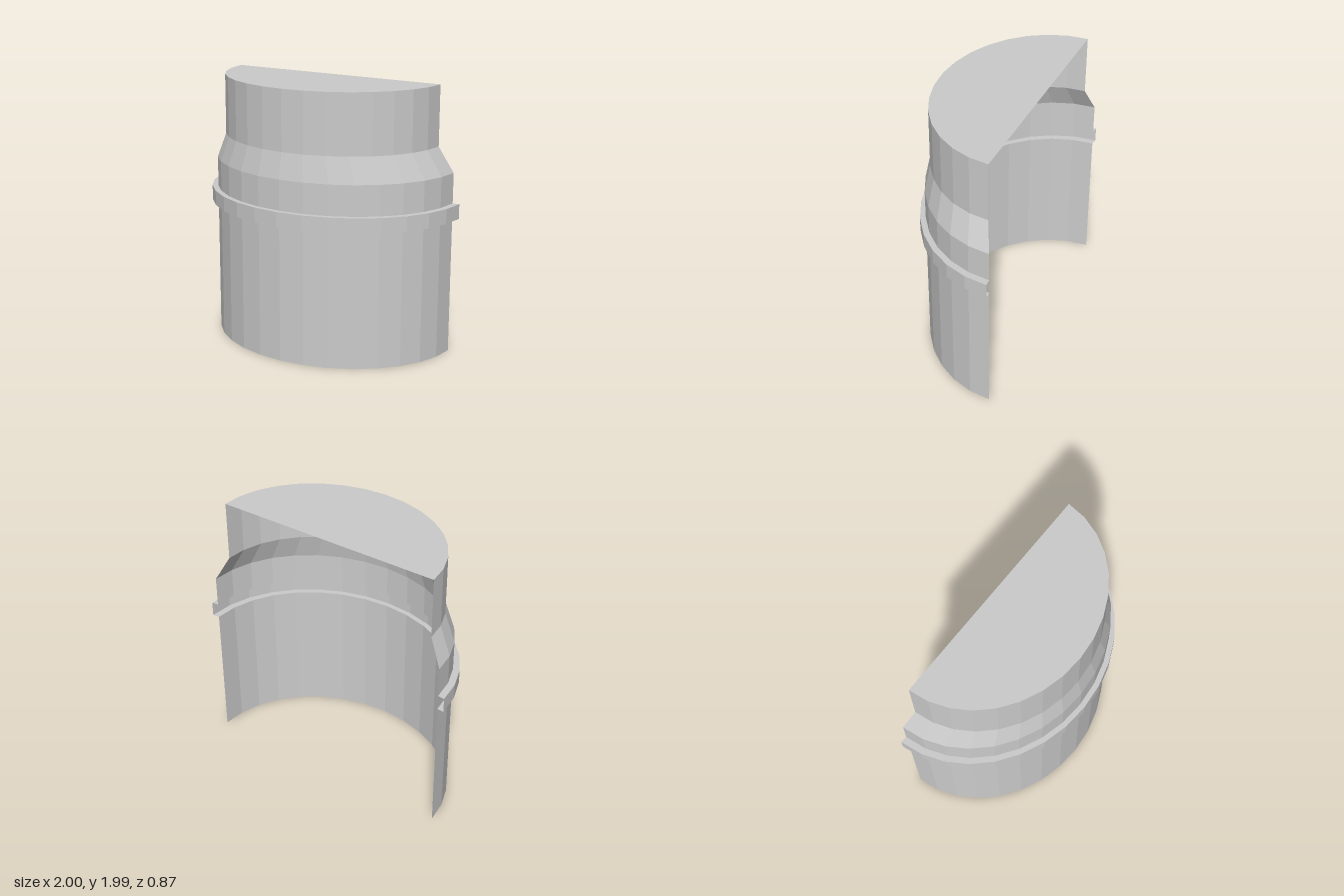
import * as THREE from 'three';

const SEGMENTS = 16;
const material = new THREE.MeshStandardMaterial({
  color: 0xcccccc, flatShading: true, side: THREE.DoubleSide,
});

// Half-ellipse section: height, half width, back edge and depth towards +z
const section = (y, width, back, depth) => ({ y, width, back, depth });

// Thin wall lofted through a list of sections, bottom to top
function wall(name, sections) {
  const positions = [];
  const index = [];
  const row = SEGMENTS + 1;
  sections.forEach((s, j) => {
    for (let i = 0; i <= SEGMENTS; i++) {
      const a = -Math.PI / 2 + (i / SEGMENTS) * Math.PI;
      positions.push(s.width * Math.sin(a), s.y, s.back + s.depth * Math.cos(a));
      if (j > 0 && i > 0) {
        const d = j * row + i, c = d - 1, b = d - row, a0 = b - 1;
        index.push(a0, b, d, a0, d, c);
      }
    }
  });
  const geometry = new THREE.BufferGeometry();
  geometry.setAttribute('position', new THREE.Float32BufferAttribute(positions, 3));
  geometry.setIndex(index);
  geometry.computeVertexNormals();
  const mesh = new THREE.Mesh(geometry, material);
  mesh.name = name;
  return mesh;
}

export function createModel() {
  const group = new THREE.Group();
  group.name = 'halfShell';

  const body = (y) => section(y, 0.95, -0.43, 0.825);
  const band = (y) => section(y, 1, -0.435, 0.868);
  const neck = (y) => section(y, 0.85, -0.38, 0.74);

  // Wide lower wall, hollow raised band, sloped shoulder and narrow neck
  group.add(
    wall('lowerWall', [body(0), body(1.02)]),
    wall('raisedBand', [body(1.02), band(1.02), band(1.13), body(1.13)]),
    wall('upperWall', [body(1.13), body(1.355)]),
    wall('shoulder', [body(1.355), neck(1.545)]),
    wall('neck', [neck(1.545), neck(1.99)]),
  );

  // Flat half-ellipse lid closing the neck
  const lidGeometry = new THREE.CircleGeometry(1, SEGMENTS, Math.PI, Math.PI);
  lidGeometry.rotateX(-Math.PI / 2);
  lidGeometry.scale(0.85, 1, 0.74);
  const lid = new THREE.Mesh(lidGeometry, material);
  lid.name = 'lid';
  lid.position.set(0, 1.99, -0.38);
  group.add(lid);

  return group;
}
